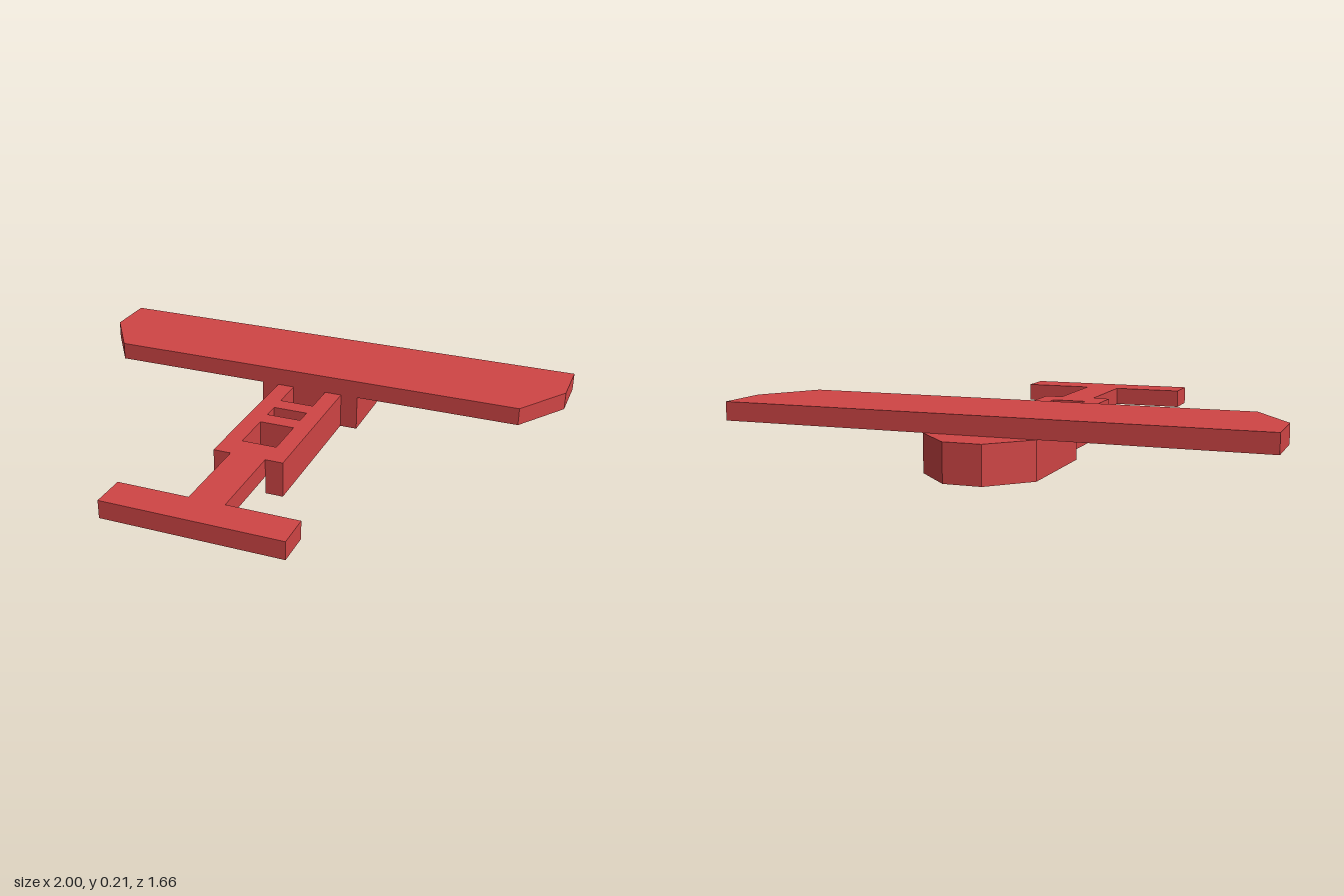
import * as THREE from 'three';

export function createModel() {
  const plane = new THREE.Group();
  plane.name = 'toyPlane';
  const red = new THREE.MeshStandardMaterial({ color: 0xd04545, flatShading: true });

  const add = (name, geometry) => {
    const mesh = new THREE.Mesh(geometry, red);
    mesh.name = name;
    plane.add(mesh);
  };

  // Upright slab from half an outline of [x, z] points, mirrored across x = 0
  const slab = (name, half, y0, y1, holes = []) => {
    const toPoint = ([x, z]) => new THREE.Vector2(x, -z);
    const mirrored = half.map(([x, z]) => [-x, z]).reverse();
    const shape = new THREE.Shape([...half, ...mirrored].map(toPoint));
    for (const [w, z0, z1] of holes) {
      shape.holes.push(new THREE.Path([[-w, z0], [w, z0], [w, z1], [-w, z1]].map(toPoint)));
    }
    const geometry = new THREE.ExtrudeGeometry(shape, { depth: y1 - y0, bevelEnabled: false });
    geometry.rotateX(-Math.PI / 2);
    geometry.translate(0, y0, 0);
    add(name, geometry);
  };

  // Wing with clipped tips
  slab('wing', [[0.86, -0.28], [1, -0.49], [1, -0.69]], 0.14, 0.21);

  // Engine block under the wing, tapering to the nose
  slab('engineBlock', [[0.207, -0.28], [0.207, -0.69], [0.07, -0.828]], 0, 0.14);

  // Open fuselage: two rails joined by crossbars
  for (const side of [-1, 1]) {
    const rail = new THREE.BoxGeometry(0.069, 0.14, 0.625);
    rail.translate(side * 0.1035, 0.07, 0.0325);
    add(side > 0 ? 'leftRail' : 'rightRail', rail);
  }
  [-0.105, 0.033].forEach((z, i) => {
    const bar = new THREE.BoxGeometry(0.138, 0.14, 0.069);
    bar.translate(0, 0.07, z);
    add(`crossbar${i + 1}`, bar);
  });

  // Tail boom and tailplane as one T-shaped slab
  slab('tail', [[0.345, 0.828], [0.345, 0.69], [0.069, 0.69], [0.069, 0.24]], 0.07, 0.14);

  return plane;
}
